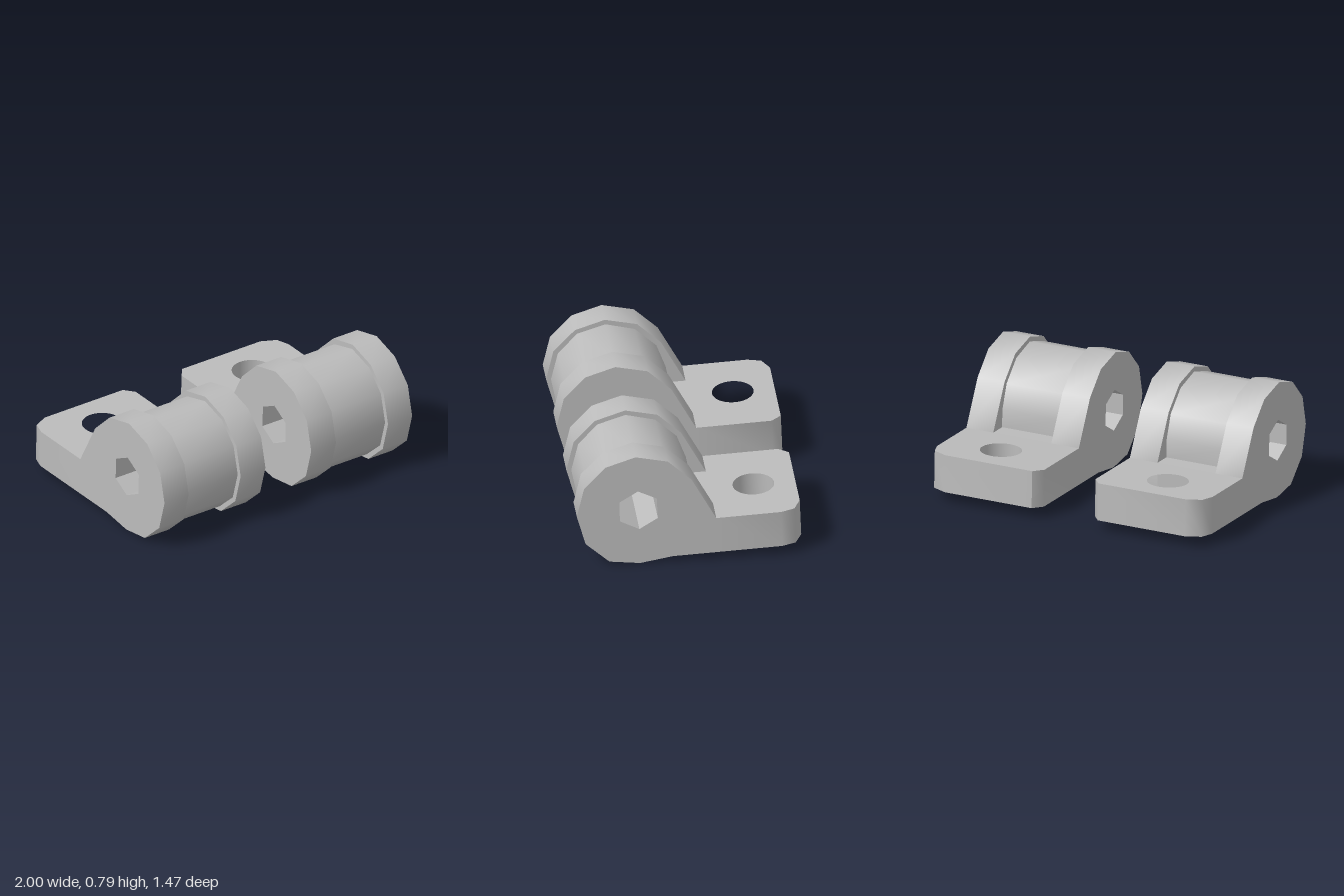
import * as THREE from 'three';
import { toCreasedNormals } from 'three/addons/utils/BufferGeometryUtils.js';

const CREASE = 0.85;
const JOIN = -0.17; // z where the mounting tab meets the knuckle

// Profiles as [z, y]
const CHEEK = [
  [JOIN, 0.052], [JOIN, 0.305], [-0.01, 0.6], [0.145, 0.745], [0.355, 0.79], [0.55, 0.725], [0.69, 0.575],
  [0.737, 0.37], [0.68, 0.165], [0.525, 0.025], [0.325, 0.002], [0.11, 0.04],
];
const BARREL = [
  [JOIN, 0.052], [JOIN, 0.305], [-0.045, 0.3], [-0.04, 0.42], [0.02, 0.58], [0.16, 0.71], [0.352, 0.757],
  [0.535, 0.698], [0.66, 0.56], [0.705, 0.37], [0.652, 0.18], [0.512, 0.056], [0.325, 0.035], [0.11, 0.05],
];
const HEX = [
  [0.34, 0.535], [0.46, 0.46], [0.457, 0.32], [0.33, 0.255], [0.21, 0.33], [0.217, 0.475],
];

const toPoints = (list) => list.map(([z, y]) => new THREE.Vector2(-z, y));

// Side profile with a hexagonal bore, extruded across x
function profileGeometry(profile, x0, x1) {
  const shape = new THREE.Shape(toPoints(profile));
  shape.holes.push(new THREE.Path(toPoints(HEX)));
  const geo = new THREE.ExtrudeGeometry(shape, { depth: x1 - x0, bevelEnabled: false });
  geo.rotateY(Math.PI / 2).translate(x0, 0, 0);
  return toCreasedNormals(geo, CREASE);
}

// Slightly tilted tab with clipped corners and a round screw hole
function tabGeometry(s) {
  const plan = [
    [0.185, -JOIN], [1, -JOIN], [1, 0.6], [0.97, 0.69], [0.87, 0.737], [0.24, 0.737], [0.185, 0.67],
  ];
  const shape = new THREE.Shape(plan.map(([x, v]) => new THREE.Vector2(s * x, v)));
  shape.holes.push(new THREE.Path().absarc(s * 0.605, 0.46, 0.137, 0, Math.PI * 2, true));
  const geo = new THREE.ExtrudeGeometry(shape, { depth: 1, bevelEnabled: false, curveSegments: 32 });
  geo.rotateX(-Math.PI / 2);
  const p = geo.attributes.position;
  for (let i = 0; i < p.count; i++) {
    const top = p.getY(i);
    const z = p.getZ(i);
    const t = (JOIN - z) / 0.567;
    p.setY(i, top > 0.5 ? 0.305 + 0.025 * t : 0.052 + 0.025 * t);
    p.setZ(i, z + 0.01 * top * t);
  }
  return toCreasedNormals(geo, CREASE);
}

export function createModel() {
  const model = new THREE.Group();
  model.name = 'bracketPair';
  const grey = new THREE.MeshStandardMaterial({ color: 0xbbbbbb });
  grey.name = 'plain grey';

  for (const s of [-1, 1]) {
    const bracket = new THREE.Group();
    bracket.name = s > 0 ? 'leftBracket' : 'rightBracket';
    const add = (name, geo) => {
      const mesh = new THREE.Mesh(geo, grey);
      mesh.name = name;
      bracket.add(mesh);
    };
    const across = (profile, a, b) => profileGeometry(profile, Math.min(s * a, s * b), Math.max(s * a, s * b));
    add('innerCheek', across(CHEEK, 0.185, 0.385));
    add('barrel', across(BARREL, 0.385, 0.805));
    add('outerCheek', across(CHEEK, 0.805, 1));
    add('mountingTab', tabGeometry(s));
    model.add(bracket);
  }
  return model;
}
